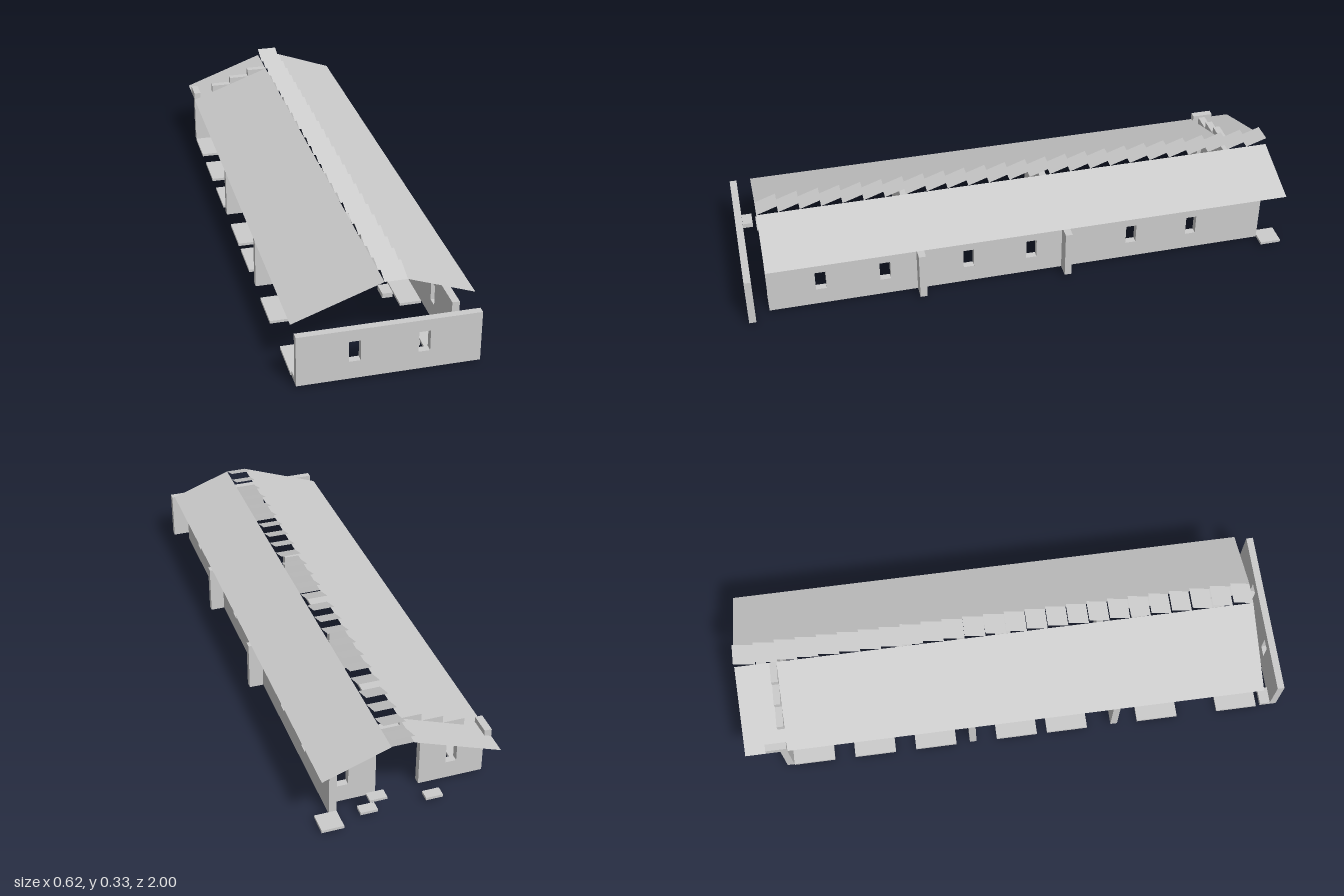
import * as THREE from 'three';

const grey = new THREE.MeshStandardMaterial({ color: 0xcccccc, side: THREE.DoubleSide });
grey.name = 'plain grey';

const U = 1 / 13; // one building module
const T = U / 3; // wall thickness
const BASE = 0.01, TOP = 0.193;
const WINDOW_Y = [0.075, 0.15], WINDOW_W = 0.039;

export function createModel() {
  const model = new THREE.Group();
  model.name = 'longhouse';

  const add = (name, geometry) => {
    const mesh = new THREE.Mesh(geometry, grey);
    mesh.name = name;
    model.add(mesh);
    return mesh;
  };

  // Box given by its lower and upper limits on each axis
  const block = (name, x0, x1, y0, y1, z0, z1) => {
    const mesh = add(name, new THREE.BoxGeometry(x1 - x0, y1 - y0, z1 - z0));
    mesh.position.set((x0 + x1) / 2, (y0 + y1) / 2, (z0 + z1) / 2);
    return mesh;
  };

  // Upright wall panel with window holes, drawn from a to b
  const panel = (name, a, b, windows = []) => {
    const shape = new THREE.Shape();
    shape.moveTo(a, BASE).lineTo(b, BASE).lineTo(b, TOP).lineTo(a, TOP).closePath();
    for (const c of windows) {
      const hole = new THREE.Path();
      const l = c - WINDOW_W / 2, r = c + WINDOW_W / 2, [lo, hi] = WINDOW_Y;
      hole.moveTo(l, lo).lineTo(l, hi).lineTo(r, hi).lineTo(r, lo).closePath();
      shape.holes.push(hole);
    }
    return add(name, new THREE.ExtrudeGeometry(shape, { depth: T, bevelEnabled: false }));
  };

  // Flat sheet spanning x0,y0,z0 to x1,y1,z1, with y rising along x or z
  const sheet = (name, x0, x1, z0, z1, height) => {
    const g = new THREE.PlaneGeometry(x1 - x0, Math.abs(z1 - z0)).rotateX(-Math.PI / 2);
    g.translate((x0 + x1) / 2, 0, (z0 + z1) / 2);
    const p = g.attributes.position;
    for (let i = 0; i < p.count; i++) p.setY(i, height(p.getX(i), p.getZ(i)));
    g.computeVertexNormals();
    return add(name, g);
  };

  // Outer walls
  panel('frontWall', -4 * U, 4 * U, [-1.5 * U, 1.5 * U]).position.z = 1 - T;
  const side = panel('leftWall', -12 * U, 12 * U, [-0.732, -0.5, -0.194, 0.04, 0.42, 0.653]);
  side.rotation.y = Math.PI / 2;
  side.position.x = 3 * U;
  const backZ = -11 * U - T;
  panel('backWallRight', -4 * U, -U, [-2.5 * U]).position.z = backZ;
  panel('backWallLeft', U, 3 * U, [2.5 * U]).position.z = backZ;

  // Cross walls, each with a doorway
  for (const z of [0.359, -0.18]) {
    panel('crossWallRight', -4 * U, 0).position.z = z;
    panel('crossWallLeft', U, 4 * U).position.z = z;
  }

  // Stepped gable over the back wall
  const gable = new THREE.Shape();
  const tops = [0.249, 0.277, 0.305, 0.277, 0.249, 0.222];
  gable.moveTo(-3 * U, TOP);
  tops.forEach((y, i) => gable.lineTo((i - 3) * U, y).lineTo((i - 2) * U, y));
  gable.lineTo(3 * U, TOP).closePath();
  add('steppedGable', new THREE.ExtrudeGeometry(gable, { depth: T, bevelEnabled: false })).position.z = backZ;
  block('eaveBlock', -4 * U, -4 * U + T, TOP, 0.222, -12 * U, -11 * U);

  // Roof slopes
  sheet('roofRight', -4 * U, 0, -1, 12 * U, (x) => 0.305 + (x / (4 * U)) * 0.112);
  sheet('roofLeft', U, 4 * U, -1, 12 * U, (x) => 0.305 - ((x - U) / (3 * U)) * 0.083);

  // Row of tilted sheets along the ridge, open to the back
  for (let i = 0; i < 25; i++) {
    const z = (12 - i) * U;
    sheet('ridgeLouvre', 0, U, z - U, z, (x, zz) => 0.305 + ((z - zz) / U) * 0.027);
  }

  // Floor slabs along both sides, each with a small raised block
  const slab = (x, z) => block('floorSlab', x - U / 2, x + U / 2, 0, BASE, z - U, z + U);
  const raised = (x, z) => block('raisedBlock', x - 0.019, x + 0.019, BASE, 0.028, z - 0.03, z + 0.03);
  for (const z of [11, 7, 2.5, 0, -4, -7, -10]) {
    slab(-3.5 * U, z * U);
    raised(-2.5 * U, z * U);
  }
  for (const z of [11, 7, 0, -5]) {
    slab(2.5 * U, z * U);
    raised(1.6 * U, z * U);
  }
  for (const [x, z] of [[-1.5, 4], [-1.5, -4]]) {
    block('middleSlab', (x - 0.5) * U, (x + 0.5) * U, 0, BASE, (z - 0.5) * U, (z + 0.5) * U);
  }

  // Loose steps and ledges at both ends
  block('frontStep', -4 * U, -3.2 * U, BASE, 0.028, 0.936, 0.974);
  block('backCornerSlab', 3 * U, 4 * U, BASE, 0.02, -1, -12 * U);
  for (const x of [-0.1, 0.13]) block('backStep', x - 0.03, x + 0.03, BASE, 0.02, -0.96, -0.923);
  block('backLedge', 0.085, 0.145, 0.094, 0.103, -1, -0.962);

  return model;
}
